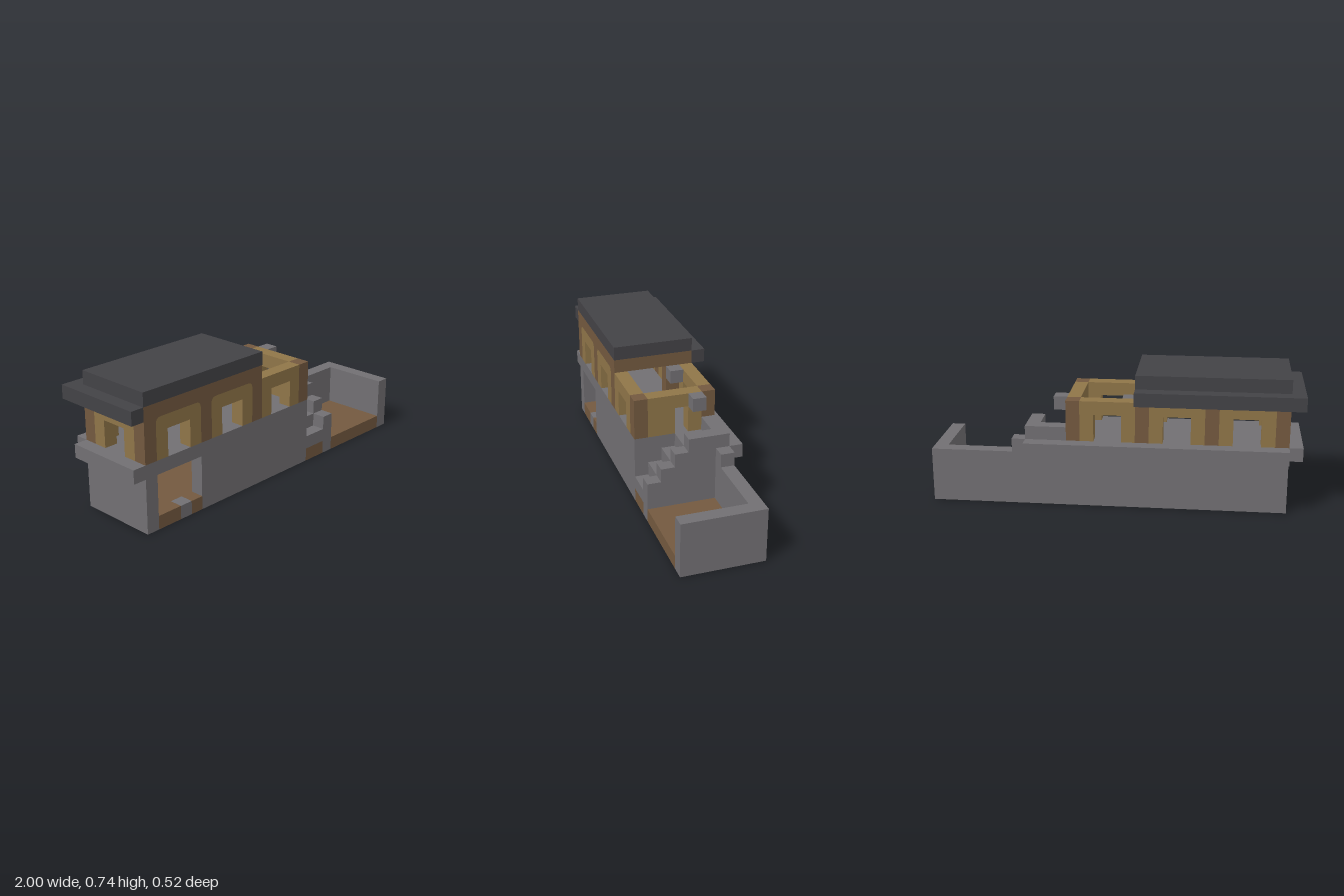
import * as THREE from 'three';

const U = 2 / 27; // one building block

export function createModel() {
  const mat = (name, color) => {
    const m = new THREE.MeshStandardMaterial({ color });
    m.name = name;
    return m;
  };
  const stone = mat('stone', 0x716f72);
  const slate = mat('slate', 0x434246);
  const timber = mat('timber', 0x73593f);
  const plank = mat('plank', 0x8f7548);

  // everything is measured in blocks: x 0..27, y 0..10, z 0 (back)..7 (front)
  const model = new THREE.Group();
  model.name = 'house';
  model.scale.setScalar(U);
  model.position.set(-1, 0, -3.5 * U);

  const box = (name, m, x0, x1, y0, y1, z0, z1) => {
    const mesh = new THREE.Mesh(new THREE.BoxGeometry(x1 - x0, y1 - y0, z1 - z0), m);
    mesh.position.set((x0 + x1) / 2, (y0 + y1) / 2, (z0 + z1) / 2);
    mesh.name = name;
    model.add(mesh);
  };

  // extruded wall piece, one block thick; along x, or along z when side is true
  const slab = (name, m, shape, at, side) => {
    const geo = new THREE.ExtrudeGeometry(shape, { depth: 1, bevelEnabled: false, curveSegments: 5 });
    if (side) geo.rotateY(-Math.PI / 2).translate(at + 1, 0, 0);
    else geo.translate(0, 0, at);
    const mesh = new THREE.Mesh(geo, m);
    mesh.name = name;
    model.add(mesh);
  };

  // plank panel a..b with an opening w0..w1, top corners rounded into the timber
  const panel = (a, b, w0, w1, at, side, r) => {
    const s = new THREE.Shape();
    s.moveTo(a, 5);
    s.lineTo(w0, 5);
    s.lineTo(w0, 7);
    s.lineTo(w1, 7);
    s.lineTo(w1, 5);
    s.lineTo(b, 5);
    s.lineTo(b, 8 - r);
    if (r) s.quadraticCurveTo(b, 8, b - r, 8);
    s.lineTo(a + r, 8);
    if (r) s.quadraticCurveTo(a, 8, a, 8 - r);
    s.lineTo(a, 5);
    slab('wallPanel', plank, s, at, side);
    if (!r) return;
    for (const [c, d] of [[a, r], [b, -r]]) {
      const k = new THREE.Shape();
      k.moveTo(c, 8);
      k.lineTo(c, 8 - r);
      k.quadraticCurveTo(c, 8, c + d, 8);
      slab('panelCorner', timber, k, at, side);
    }
  };

  // stone base around the hollow lower room
  box('baseLeftWall', stone, 1, 2, 0, 4, 1, 7);
  box('baseBackWall', stone, 2, 27, 0, 4, 1, 2);
  box('baseFrontWall', stone, 6, 17, 0, 4, 6, 7);
  box('baseInnerWall', stone, 16, 17, 1, 4, 2, 6);
  box('doorStep', stone, 4, 5, 0, 1, 6, 7);
  box('upperFloor', stone, 1, 17, 4, 5, 1, 7);
  box('backWallStep', stone, 17, 21, 4, 5, 1, 2);
  box('lowerFloor', timber, 2, 19, 0, 1, 2, 6);
  for (const [a, b] of [[2, 4], [5, 6], [17, 19]]) box('floorEdge', timber, a, b, 0, 1, 6, 7);

  // ledge along the back and left side
  box('backLedge', stone, 1, 20, 4, 5, 0, 1);
  box('leftLedge', stone, 0, 1, 4, 5, 1, 7);

  // courtyard
  box('courtyardFloor', timber, 20, 26, 0, 1, 2, 7);
  box('courtyardEndWall', stone, 26, 27, 0, 4, 1, 7);

  // stairs with a stepped parapet
  box('landing', stone, 17, 19, 1, 5, 2, 4);
  box('landingBackParapet', stone, 17, 19, 5, 6, 1, 2);
  box('parapet', stone, 19, 20, 0, 6, 1, 4);
  for (let n = 0; n < 3; n++) {
    box('stair', stone, 17, 19, 1, 4 - n, 4 + n, 5 + n);
    box('parapetStep', stone, 19, 20, 0, 5 - n, 4 + n, 5 + n);
  }

  // upper storey: posts and panels, front and back
  for (const z of [1, 6]) {
    for (const x of [1, 6, 11, 16]) box('post', timber, x, x + 1, 5, 8, z, z + 1);
    for (const x of [2, 7, 12]) panel(x, x + 4, x + 1, x + 3, z, false, x < 12 ? 0.45 : 0);
  }
  panel(2, 6, 3, 5, 1, true, 0.45); // left side window
  panel(2, 6, 3, 4, 16, true, 0);   // right side door
  box('innerPost', timber, 11, 12, 5, 8, 2, 3);
  for (const x of [12, 17]) box('wallBlock', stone, x, x + 1, 7, 8, 2, 3);

  // roof
  box('roofBeam', timber, 1, 12, 8, 9, 1, 7);
  box('roofBackEave', slate, 0, 12, 8, 9, 0, 1);
  box('roofLeftEave', slate, 0, 1, 8, 9, 1, 7);
  box('roofTop', slate, 1, 12, 9, 10, 1, 7);

  const root = new THREE.Group();
  root.name = 'terraceHouse';
  root.add(model);
  return root;
}
